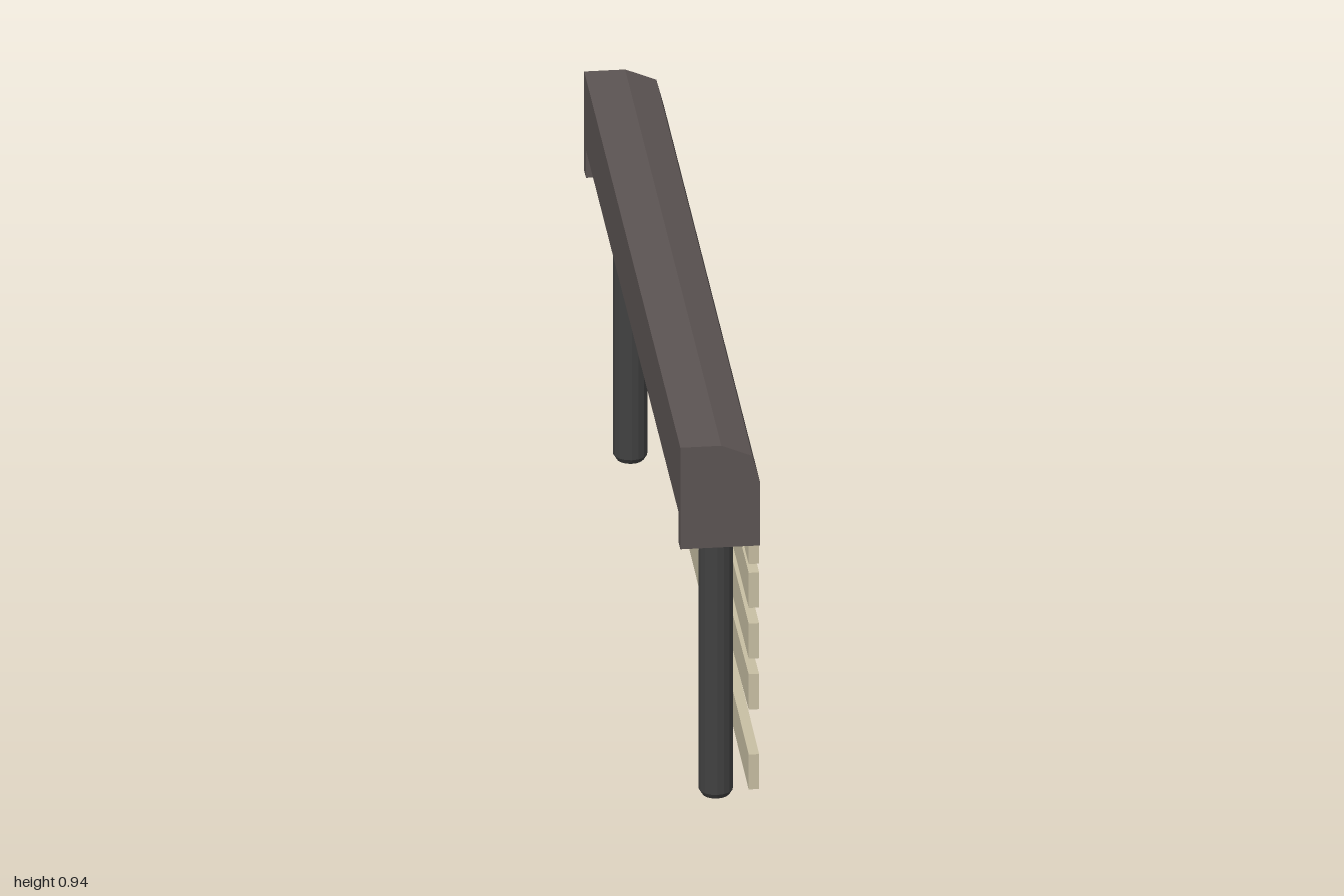
import * as THREE from 'three';

const wood = (color) => new THREE.MeshStandardMaterial({ color, flatShading: true });

export function createModel() {
  const model = new THREE.Group();
  model.name = 'slattedRailing';
  const railMat = wood(0x5c5453), postMat = wood(0x414141), slatMat = wood(0xc8bfa3);

  const add = (name, geometry, material) => {
    const mesh = new THREE.Mesh(geometry, material);
    mesh.name = name;
    model.add(mesh);
    return mesh;
  };

  // Rail section with one bevelled top edge, extruded along z
  const railPiece = (name, bottom, z0, z1) => {
    const shape = new THREE.Shape([
      [-0.092, bottom], [0.092, bottom], [0.092, 0.845],
      [0.075, 0.91], [0.003, 0.94], [-0.092, 0.94],
    ].map(([x, y]) => new THREE.Vector2(x, y)));
    const geometry = new THREE.ExtrudeGeometry(shape, { depth: z1 - z0, bevelEnabled: false });
    add(name, geometry, railMat).position.z = z0;
  };
  railPiece('topRail', 0.757, -0.956, 0.956);
  railPiece('frontEndCap', 0.68, 0.956, 0.994);
  railPiece('backEndCap', 0.686, -0.994, -0.956);

  // Round posts with a chamfered foot
  const postProfile = [[0, 0], [0.032, 0], [0.04, 0.013], [0.04, 0.8], [0, 0.8]]
    .map(([x, y]) => new THREE.Vector2(x, y));
  for (const [name, z] of [['frontPost', 0.886], ['backPost', -0.882]]) {
    add(name, new THREE.LatheGeometry(postProfile, 16), postMat).position.set(0.002, 0, z);
  }

  // Slightly crooked slats: centre height at the front end, then at the back end
  const slats = [[0.662, 0.695], [0.55, 0.56], [0.42, 0.43], [0.29, 0.258], [0.085, 0.117]];
  slats.forEach(([front, back], i) => {
    const slat = add('slat' + (i + 1), new THREE.BoxGeometry(0.024, 0.09, 1.914), slatMat);
    slat.position.set(0.082, (front + back) / 2, 0.004);
    slat.rotation.x = Math.atan2(back - front, 1.914);
  });

  // The whole railing stands a little askew
  model.rotation.y = 0.063;
  const group = new THREE.Group();
  group.add(model);
  return group;
}
